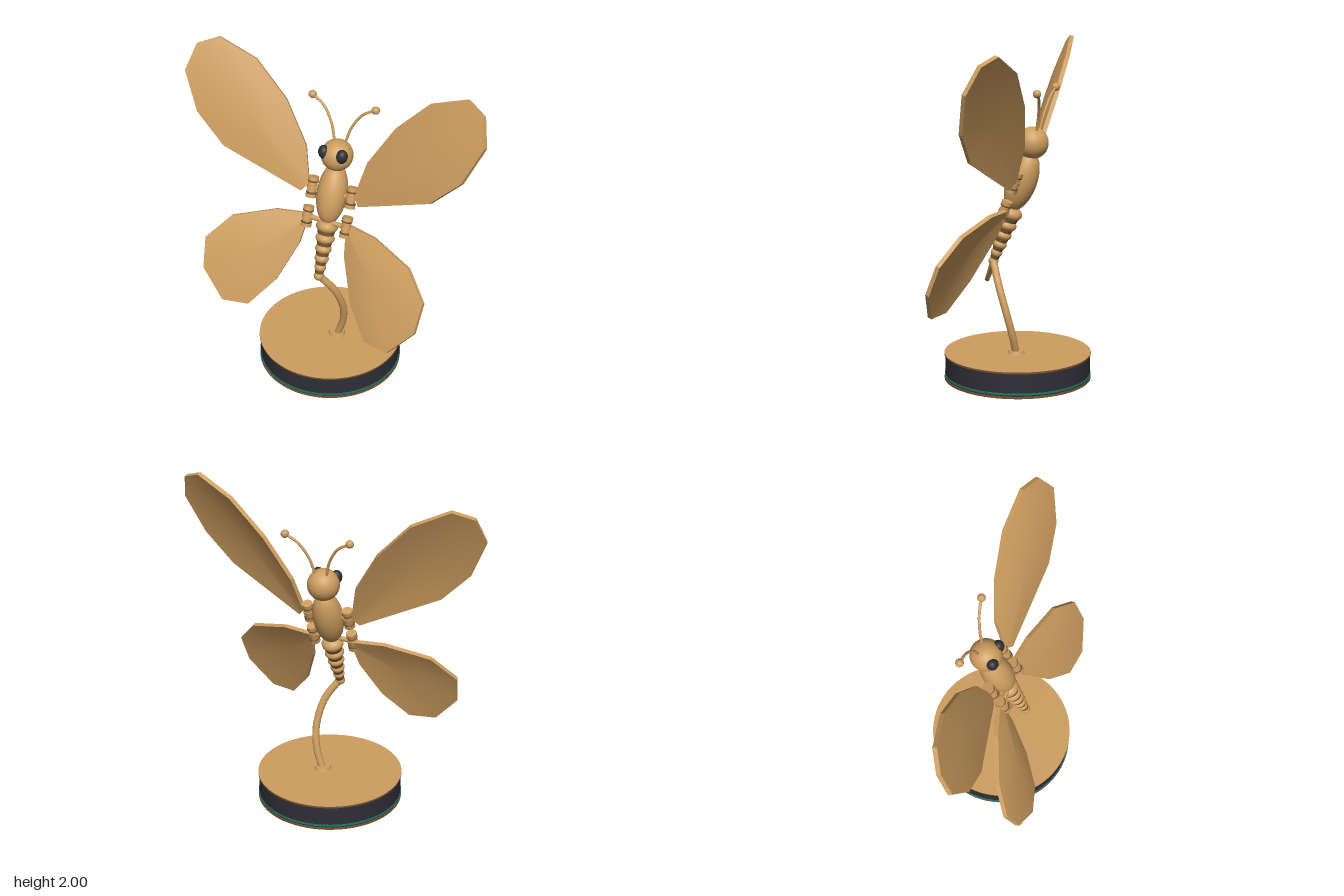
import * as THREE from 'three';

const bronze = new THREE.MeshStandardMaterial({ color: 0xcd9d5f });
bronze.name = 'bronze';
const darkBronze = new THREE.MeshStandardMaterial({ color: 0x755430 });
darkBronze.name = 'dark bronze';
const black = new THREE.MeshStandardMaterial({ color: 0x2e2e36 });
black.name = 'black';
const teal = new THREE.MeshStandardMaterial({ color: 0x1a7a68 });
teal.name = 'teal';

const TILT = -0.36; // the body leans back

function add(parent, name, geometry, material, x = 0, y = 0, z = 0) {
  const mesh = new THREE.Mesh(geometry, material);
  mesh.name = name;
  mesh.position.set(x, y, z);
  parent.add(mesh);
  return mesh;
}

// Cambered slab: a faceted outline on a sloping plane, bulging to the front
function wingGeometry(outline, plane, side) {
  const [x0, y0, z0, a, b] = plane;
  const half = 0.013, bulge = 0.025, rings = [0.3, 0.55, 0.8, 1];
  const normal = new THREE.Vector3(-a, -b, 1).normalize();
  const edge = outline.map(([x, y]) => new THREE.Vector3(x, y, z0 + a * (x - x0) + b * (y - y0)));
  if (side < 0) {
    normal.x *= -1;
    edge.forEach((p) => { p.x *= -1; });
    edge.reverse();
  }
  const n = edge.length;
  const centre = new THREE.Vector3();
  edge.forEach((p) => centre.addScaledVector(p, 1 / n));
  const positions = [], index = [];
  const push = (p) => positions.push(p.x, p.y, p.z);
  for (const face of [1, -1]) {
    const start = positions.length / 3;
    const tri = (i, j, k) => (face > 0 ? index.push(i, j, k) : index.push(i, k, j));
    push(centre.clone().addScaledVector(normal, bulge + face * half));
    rings.forEach((t, r) => {
      edge.forEach((p, i) => {
        push(centre.clone().lerp(p, t).addScaledVector(normal, bulge * (1 - t * t) + face * half));
        const j = (i + 1) % n, outer = start + 1 + r * n, inner = outer - n;
        if (r === 0) tri(start, outer + i, outer + j);
        else {
          tri(inner + i, outer + i, outer + j);
          tri(inner + i, outer + j, inner + j);
        }
      });
    });
  }
  // Flat rim with its own corners
  edge.forEach((p, i) => {
    const q = edge[(i + 1) % n], s = positions.length / 3;
    push(p.clone().addScaledVector(normal, half));
    push(p.clone().addScaledVector(normal, -half));
    push(q.clone().addScaledVector(normal, -half));
    push(q.clone().addScaledVector(normal, half));
    index.push(s, s + 1, s + 2, s, s + 2, s + 3);
  });
  const geometry = new THREE.BufferGeometry();
  geometry.setAttribute('position', new THREE.Float32BufferAttribute(positions, 3));
  geometry.setIndex(index);
  geometry.computeVertexNormals();
  return geometry;
}

const upperOutline = [[0.19, 1.175], [0.66, 1.395], [0.835, 1.575], [0.935, 1.8], [0.89, 1.95],
  [0.77, 1.995], [0.55, 1.89], [0.35, 1.68], [0.2, 1.43], [0.15, 1.22]];
const lowerOutline = [[0.13, 1.0], [0.15, 0.87], [0.25, 0.64], [0.39, 0.476], [0.55, 0.476],
  [0.698, 0.645], [0.715, 0.82], [0.58, 0.965], [0.32, 1.04], [0.12, 1.045]];

// Barrel joint with dark bands that holds a wing root
function hinge(parent, name, x, y, z) {
  const group = new THREE.Group();
  group.name = name;
  group.position.set(x, y, z);
  group.rotation.x = TILT;
  parent.add(group);
  add(group, 'hingeBarrel', new THREE.CylinderGeometry(0.027, 0.027, 0.128, 24), bronze);
  for (const h of [-0.052, 0, 0.052]) {
    add(group, 'hingeCollar', new THREE.CylinderGeometry(0.032, 0.032, 0.022, 24), bronze, 0, h, 0);
  }
  for (const h of [-0.036, 0.036]) {
    const band = add(group, 'hingeBand', new THREE.TorusGeometry(0.027, 0.006, 8, 24), darkBronze, 0, h, 0);
    band.rotation.x = Math.PI / 2;
  }
  const axle = add(group, 'hingeAxle', new THREE.CylinderGeometry(0.015, 0.015, 0.12, 12), bronze, -Math.sign(x) * 0.06);
  axle.rotation.z = Math.PI / 2;
}

function tube(points, radius, segments) {
  const curve = new THREE.CatmullRomCurve3(points.map((p) => new THREE.Vector3(...p)));
  return new THREE.TubeGeometry(curve, segments, radius, 16);
}

export function createModel() {
  const model = new THREE.Group();
  model.name = 'wingedInsectOnStand';

  // Round base: top and bottom plates, dark drum and a thin coloured line
  const disc = (name, radius, low, high, material) =>
    add(model, name, new THREE.CylinderGeometry(radius, radius, high - low, 72), material, 0, (low + high) / 2, 0);
  disc('baseBottomPlate', 0.44, 0, 0.013, darkBronze);
  disc('baseDrum', 0.435, 0.013, 0.148, black);
  disc('baseLine', 0.439, 0.021, 0.032, teal);
  disc('baseTopPlate', 0.44, 0.148, 0.159, [darkBronze, bronze, darkBronze]);

  // Curved stem and its collar
  add(model, 'stemCollar', new THREE.CylinderGeometry(0.045, 0.052, 0.018, 32), bronze, 0.045, 0.167, -0.005);
  add(model, 'stem', tube([[0.048, 0.155, -0.005], [0.09, 0.28, 0.006], [0.108, 0.42, 0.038],
    [0.08, 0.58, 0.094], [0.005, 0.705, 0.15]], 0.022, 40), bronze);

  // Tapering abdomen of rounded segments with dark bands between them
  const abdomen = new THREE.Group();
  abdomen.name = 'abdomen';
  model.add(abdomen);
  const depthAt = (y) => 0.153 - (y - 0.7) * 0.38;
  const segments = [[1.0, 0.066, 0.044], [0.93, 0.058, 0.036], [0.868, 0.05, 0.033],
    [0.81, 0.043, 0.031], [0.757, 0.035, 0.029], [0.705, 0.03, 0.028]];
  segments.forEach(([y, radius, height], i) => {
    const part = add(abdomen, 'abdomenSegment', new THREE.SphereGeometry(1, 28, 16), bronze, 0, y, depthAt(y));
    part.scale.set(radius, height, radius);
    part.rotation.x = TILT;
    if (i === 0) return;
    const [above, wide] = segments[i - 1], mid = (above + y) / 2;
    const band = add(abdomen, 'abdomenBand',
      new THREE.CylinderGeometry(wide * 0.8, radius * 0.84, 0.022, 28), darkBronze, 0, mid, depthAt(mid));
    band.rotation.x = TILT;
  });

  // Thorax and head
  const thorax = add(model, 'thorax', new THREE.SphereGeometry(1, 36, 24), bronze, 0, 1.195, -0.025);
  thorax.scale.set(0.09, 0.187, 0.09);
  thorax.rotation.x = TILT;
  add(model, 'head', new THREE.SphereGeometry(0.095, 36, 24), bronze, 0, 1.426, -0.09);

  for (const side of [1, -1]) {
    const label = side > 0 ? 'left' : 'right';
    const eye = add(model, label + 'Eye', new THREE.SphereGeometry(1, 24, 16), black, side * 0.056, 1.46, -0.036);
    eye.scale.set(0.035, 0.044, 0.035);
    eye.rotation.z = -side * 0.2;

    add(model, label + 'Antenna', tube([[0.035, 1.5, -0.125], [0.065, 1.6, -0.145],
      [0.125, 1.69, -0.165], [0.2, 1.735, -0.175]].map(([x, y, z]) => [x * side, y, z]), 0.008, 24), bronze);
    add(model, label + 'AntennaTip', new THREE.SphereGeometry(0.024, 20, 14), bronze, side * 0.2, 1.735, -0.175);

    hinge(model, label + 'UpperHinge', side * 0.127, 1.207, -0.02);
    hinge(model, label + 'LowerHinge', side * 0.127, 1.037, 0.045);
    add(model, label + 'UpperWing', wingGeometry(upperOutline, [0.19, 1.18, 0, 0.336, -0.387], side), bronze);
    add(model, label + 'LowerWing', wingGeometry(lowerOutline, [0.14, 1.0, 0.045, 0.211, -0.43], side), bronze);
  }
  return model;
}
